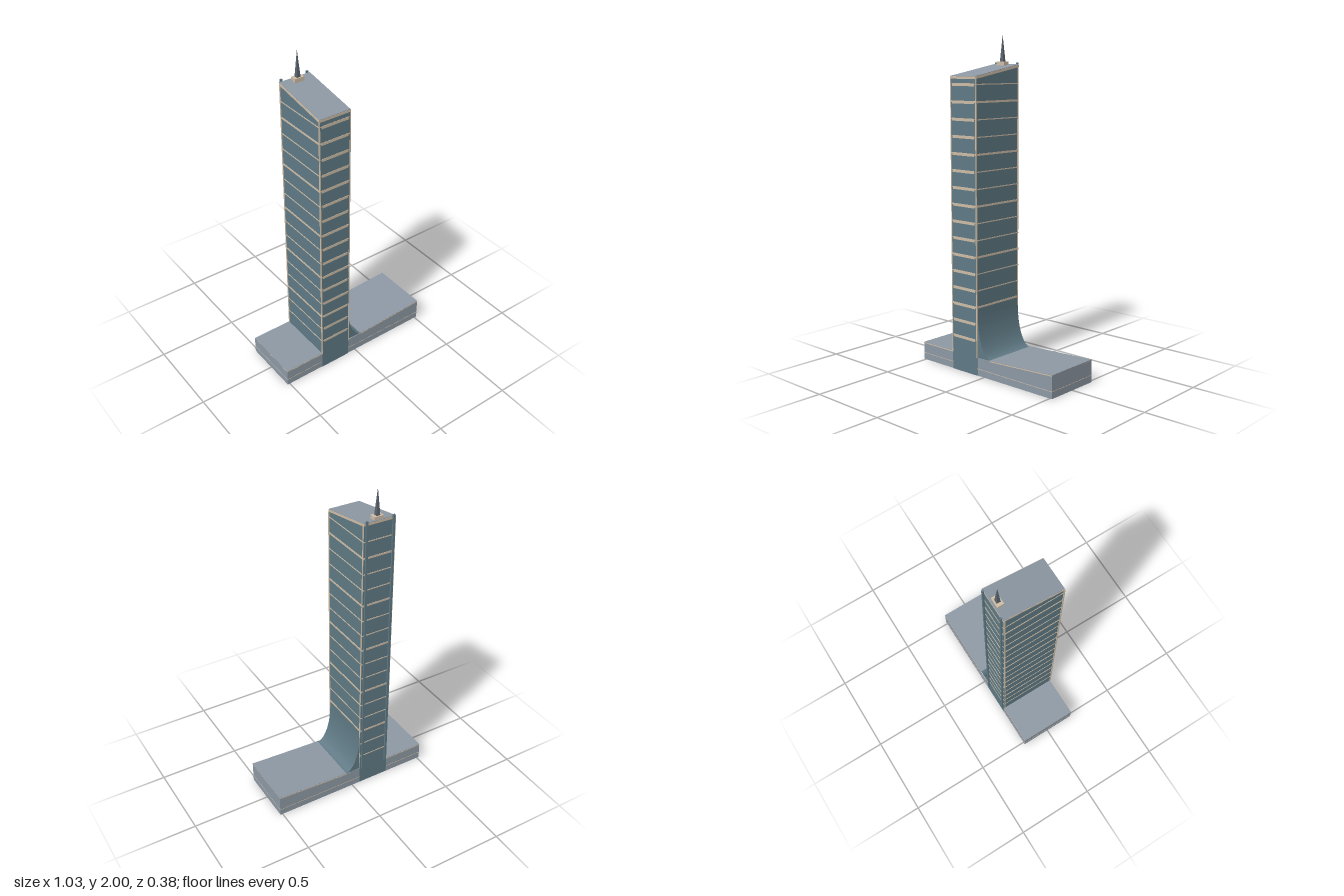
import * as THREE from 'three';

const mat = (name, color, side = THREE.DoubleSide) => {
  const m = new THREE.MeshStandardMaterial({ color, side });
  m.name = name;
  return m;
};

export function createModel() {
  const glass = mat('blue grey glass', 0x5f7984);
  const grey = mat('grey cladding', 0x8d98a4);
  const cream = mat('cream stone', 0xcdbca5);
  const dark = mat('dark steel', 0x59626c);

  const model = new THREE.Group();
  const add = (parent, name, geometry, material) => {
    const mesh = new THREE.Mesh(geometry, material);
    mesh.name = name;
    parent.add(mesh);
    return mesh;
  };
  const group = (name) => {
    const g = new THREE.Group();
    g.name = name;
    model.add(g);
    return g;
  };
  // box given by its limits
  const box = (x0, x1, y0, y1, z0, z1) =>
    new THREE.BoxGeometry(x1 - x0, y1 - y0, z1 - z0)
      .translate((x0 + x1) / 2, (y0 + y1) / 2, (z0 + z1) / 2);
  // outline in x,y drawn out along z
  const prismZ = (pts, z0, z1) =>
    new THREE.ExtrudeGeometry(new THREE.Shape(pts.map((p) => new THREE.Vector2(...p))),
      { depth: z1 - z0, bevelEnabled: false }).translate(0, 0, z0);
  // outline in z,y drawn out along x
  const prismX = (pts, x0, x1) => prismZ(pts, 0, x1 - x0).rotateY(-Math.PI / 2).translate(x1, 0, 0);
  // open walls around a rectangle, with a top that may slope
  const walls = (x0, x1, z0, z1, top) => {
    const c = [[x0, z1], [x1, z1], [x1, z0], [x0, z0]];
    const pos = [];
    c.forEach(([ax, az], i) => {
      const [bx, bz] = c[(i + 1) % 4];
      const a = [ax, 0, az], b = [bx, 0, bz];
      const bt = [bx, top(bx, bz), bz], at = [ax, top(ax, az), az];
      pos.push(...a, ...b, ...bt, ...a, ...bt, ...at);
    });
    const g = new THREE.BufferGeometry();
    g.setAttribute('position', new THREE.Float32BufferAttribute(pos, 3));
    g.computeVertexNormals();
    return g;
  };

  // Tower shell
  const L = -0.255, R = -0.055, B = -0.18, F = 0.187;
  const roofY = (z) => 1.745 + ((F - z) / (F - B)) * 0.065;
  const tower = group('tower');
  add(tower, 'towerWalls', walls(L, R, B, F, (x, z) => roofY(z)), glass);

  // Sloping roof slab with grey cover
  const slope = (lo, hi, inset) => [
    [B + inset, roofY(B) + lo], [F - inset, roofY(F) + lo],
    [F - inset, roofY(F) + hi], [B + inset, roofY(B) + hi]];
  add(tower, 'roofSlab', prismX(slope(0, 0.014, -0.001), L - 0.002, R + 0.002), cream);
  add(tower, 'roofCover', prismX(slope(0.014, 0.017, 0), L, R), grey);

  // Floor bands, every third one heavier
  const bands = group('floorBands');
  const t = 0.002;
  for (let k = 1; k <= 16; k++) {
    const y = 0.115 + 0.1 * k;
    const h = k % 3 === 0 ? 0.006 : 0.003;
    add(bands, 'frontBand', box(L + 0.012, R - 0.012, y - 0.011, y + 0.006, F, F + t), cream);
    add(bands, 'frontLine', box(L, R, y - h + 0.002, y + h, F, F + t / 2), cream);
    add(bands, 'backBand', box(L, R, y - h, y + h, B - t, B), cream);
    add(bands, 'rightBand', box(L - t, L, y - h, y + h, B, F), cream);
    if (k > 2) add(bands, 'leftBand', box(R, R + t, y - h, y + h, B, F), cream);
  }

  // Corner trims and rear fins
  const trims = group('cornerTrims');
  for (const x of [L, R]) {
    for (const z of [B + 0.006, F - 0.002]) {
      add(trims, 'cornerTrim', box(x - 0.003, x + 0.003, 0.11, roofY(z), z - 0.004, z + 0.004), cream);
    }
  }
  for (const x of [-0.24, -0.07]) {
    add(trims, 'rearFin', box(x - 0.006, x + 0.006, 0.11, 1.838, B - 0.01, B), glass);
  }

  // Spire on its plinth
  const spire = group('spire');
  add(spire, 'plinth', box(-0.185, -0.125, 1.8, 1.842, -0.171, -0.131), cream);
  const needle = new THREE.ConeGeometry(0.017, 0.16, 4).rotateY(Math.PI / 4).toNonIndexed();
  needle.computeVertexNormals();
  add(spire, 'needle', needle.translate(-0.155, 1.92, -0.151), dark);

  // Low wings beside the tower, open underneath
  const P0 = -0.18, P1 = 0.184;
  const wing = (name, x0, x1, roofX0, top) => {
    const g = group(name);
    add(g, 'wingWalls', walls(x0, x1, P0, P1, top), grey);
    const strip = (lo, hi) => [[roofX0, top(roofX0) + lo], [x1, top(x1) + lo],
      [x1, top(x1) + hi], [roofX0, top(roofX0) + hi]];
    add(g, 'wingRoofSlab', prismZ(strip(-0.005, 0.001), P0 - 0.001, P1 + 0.001), cream);
    add(g, 'wingRoofCover', prismZ(strip(0.001, 0.003), P0, P1), grey);
    // thin string course
    const y = 0.042, h = 0.0015;
    add(g, 'frontCourse', box(x0, x1, y - h, y + h, P1, P1 + 0.001), cream);
    add(g, 'backCourse', box(x0, x1, y - h, y + h, P0 - 0.001, P0), cream);
    const end = x0 < L ? x0 : x1;
    add(g, 'endCourse', box(end - 0.001, end + 0.001, y - h, y + h, P0, P1), cream);
  };
  wing('rightWing', -0.515, L, -0.515, () => 0.108);
  wing('leftWing', R, 0.515, 0.043, (x) => 0.111 + Math.max(0, (x - 0.043) / 0.472) * 0.024);

  // Curved glass sweep from the tower down to the left wing
  const sweep = group('curvedSweep');
  const arc = [];
  for (let i = 0; i <= 12; i++) {
    const a = (i / 12) * Math.PI / 2;
    arc.push([0.046 - 0.098 * Math.cos(a), 0.36 - 0.247 * Math.sin(a)]);
  }
  const pos = [], index = [];
  arc.forEach(([x, y], i) => {
    pos.push(x, y, -0.176, x, y, 0.18);
    if (i) {
      const a = 2 * i - 2;
      index.push(a, a + 1, a + 3, a, a + 3, a + 2);
    }
  });
  const surface = new THREE.BufferGeometry();
  surface.setAttribute('position', new THREE.Float32BufferAttribute(pos, 3));
  surface.setIndex(index);
  surface.computeVertexNormals();
  add(sweep, 'sweepSurface', surface, glass);
  const cheek = new THREE.ShapeGeometry(new THREE.Shape(
    [...arc, [R, 0.113], [R, 0.36]].map((p) => new THREE.Vector2(...p))));
  for (const z of [-0.176, 0.18]) add(sweep, 'sweepCheek', cheek, glass).position.z = z;

  return model;
}
